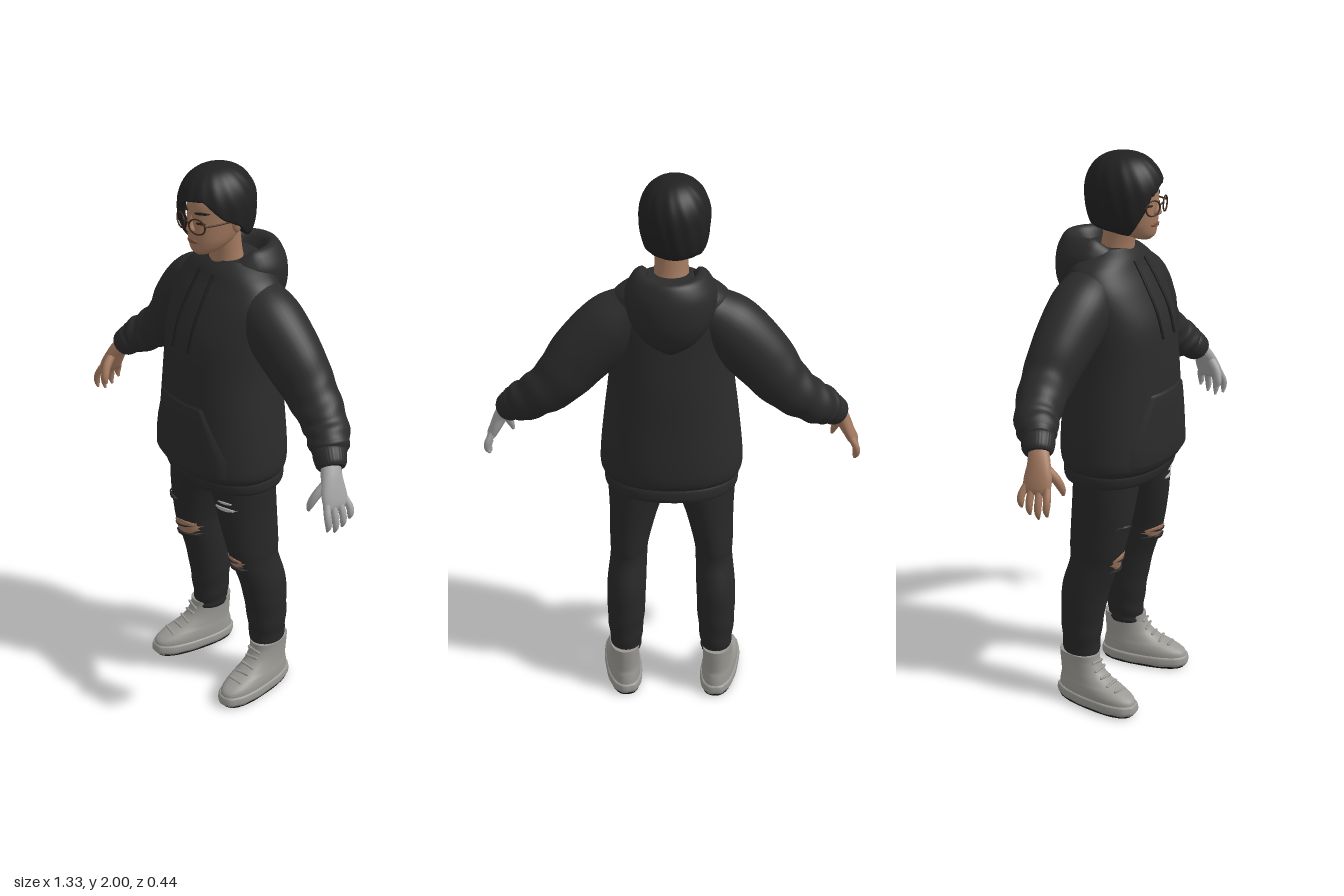
import * as THREE from 'three';

const mat = (name, color) => Object.assign(new THREE.MeshStandardMaterial({ color }), { name });
const M = {
  hoodie: mat('charcoal fleece', 0x2b2b2b), jeans: mat('black denim', 0x282828),
  hair: mat('black hair', 0x212121), skin: mat('skin', 0xa47a60),
  glove: mat('grey hand', 0xa2a3a2), shoe: mat('grey shoe', 0x9a9893),
  sole: mat('dark rubber', 0x1c1c1c), frame: mat('brown frame', 0x3a2619),
  lips: mat('lips', 0x84543f), thread: mat('pale thread', 0xb4b4b2),
};
const V = (x, y, z) => new THREE.Vector3(x, y, z);
const mesh = (name, geo, material) => Object.assign(new THREE.Mesh(geo, material), { name });

function build(pos, idx) {
  const g = new THREE.BufferGeometry();
  g.setAttribute('position', new THREE.Float32BufferAttribute(pos, 3));
  g.setIndex(idx);
  g.computeVertexNormals();
  return g;
}

// Smooth cross-sections from rows of [x, y, z, radius across, radius in depth]
function sampler(rows) {
  const c = new THREE.CatmullRomCurve3(rows.map(r => V(r[0], r[1], r[2])), false, 'catmullrom', 0.5);
  const k = new THREE.CatmullRomCurve3(rows.map(r => V(r[3], r[4], 0)), false, 'catmullrom', 0.5);
  return t => ({ c: c.getPoint(t), r: k.getPoint(t), T: c.getTangent(t) });
}

// Closed loft; rings lie level, or square to the path when along is true
function loft(rows, { n = 36, p = 2, along = false, fold = () => 1, steps = 6 } = {}) {
  const at = sampler(rows), m = (rows.length - 1) * steps, pos = [], idx = [];
  const sp = v => Math.sign(v) * Math.abs(v) ** (2 / p);
  for (let i = 0; i <= m; i++) {
    const { c, r, T } = at(i / m);
    if (!along) T.set(0, 1, 0);
    const u = T.clone().cross(V(0, 0, 1)).normalize(), w = u.clone().cross(T);
    for (let j = 0; j < n; j++) {
      const a = j / n * Math.PI * 2, f = fold(a, i / m);
      const q = c.clone().addScaledVector(u, r.x * f * sp(Math.cos(a))).addScaledVector(w, r.y * f * sp(Math.sin(a)));
      pos.push(q.x, q.y, q.z);
    }
  }
  for (let i = 0; i < m; i++) for (let j = 0; j < n; j++) {
    const a = i * n + j, b = i * n + (j + 1) % n;
    idx.push(a, a + n, b, b, a + n, b + n);
  }
  for (const [i, end] of [[0, 0], [m, 1]]) {
    const base = pos.length / 3, c = at(end).c;
    pos.push(...pos.slice(i * n * 3, (i + 1) * n * 3), c.x, c.y, c.z);
    for (let j = 0; j < n; j++) {
      const a = base + j, b = base + (j + 1) % n;
      idx.push(base + n, end ? b : a, end ? a : b);
    }
  }
  return build(pos, idx);
}

// Depth of the front of a level loft at x, y
function frontZ(rows, x, y, p = 2) {
  const at = sampler(rows);
  let lo = 0, hi = 1;
  for (let i = 0; i < 24; i++) { const t = (lo + hi) / 2; if (at(t).c.y < y) lo = t; else hi = t; }
  const { c, r } = at(lo), d = Math.min(1, Math.abs((x - c.x) / r.x));
  return c.z + r.y * (1 - d ** p) ** (1 / p);
}

// Thin plate hugging the front of a loft; spans are [y, x0, x1] going up
function patch(rows, spans, off, p = 2, n = 14) {
  const pos = [], idx = [], m = spans.length;
  spans.forEach(([y, x0, x1], i) => {
    for (let j = 0; j <= n; j++) {
      const x = x0 + (x1 - x0) * j / n, rim = j === 0 || j === n || i === 0 || i === m - 1;
      pos.push(x, y, frontZ(rows, x, y, p) + (rim ? off * 0.2 : off));
    }
  });
  for (let i = 0; i < m - 1; i++) for (let j = 0; j < n; j++) {
    const a = i * (n + 1) + j, b = a + n + 1;
    idx.push(a, a + 1, b, a + 1, b + 1, b);
  }
  return build(pos, idx);
}
const oval = (x, y, w, h, rag = 0) => Array.from({ length: 9 }, (_, i) => {
  const v = i / 4 - 1, hw = w * Math.sqrt(Math.max(0.02, 1 - v * v));
  return [y + h * v, x - hw * (1 + rag * Math.sin(i * 2.6)), x + hw * (1 + rag * Math.cos(i * 3.3))];
});
const tube = (pts, r) => new THREE.TubeGeometry(new THREE.CatmullRomCurve3(pts.map(q => V(...q))), 24, r, 8);

function hairGeometry() {
  // Hairline height by angle: 0 left ear, 90 brow, 180 right ear, 270 nape
  const line = [[0, 1.82], [25, 1.85], [55, 1.91], [85, 1.905], [112, 1.87], [128, 1.80], [145, 1.735],
    [180, 1.75], [225, 1.76], [270, 1.755], [315, 1.765], [340, 1.775], [360, 1.82]];
  const edge = d => {
    const i = Math.max(1, line.findIndex(l => l[0] >= d)), [a, ya] = line[i - 1], [b, yb] = line[i];
    return THREE.MathUtils.lerp(ya, yb, (d - a) / (b - a));
  };
  const n = 90, m = 26, pos = [], idx = [], cy = 1.87;
  for (let i = 0; i <= m + 1; i++) for (let j = 0; j < n; j++) {
    const a = j / n * Math.PI * 2, e = edge(j / n * 360) - cy, tuck = i > m;
    const end = Math.acos(e > 0 ? e / 0.13 : e / 0.16), ph = end * Math.min(1, i / m);
    const low = ph > Math.PI / 2, s = Math.sin(ph) ** (low ? 0.5 : 0.82) * (tuck ? 0.8 : 1);
    const lock = 1 + 0.012 * Math.sin(15 * a + 4 * ph) * Math.sin(ph);
    pos.push(-0.01 + 0.119 * s * lock * Math.cos(a), cy + Math.cos(ph) * (low ? 0.16 : 0.13) + (tuck ? 0.008 : 0),
      0.032 + 0.137 * s * lock * Math.sin(a));
  }
  for (let i = 0; i <= m; i++) for (let j = 0; j < n; j++) {
    const a = i * n + j, b = i * n + (j + 1) % n;
    idx.push(a, b, a + n, b, b + n, a + n);
  }
  return build(pos, idx);
}

function addHead(g) {
  const head = [[0, 1.712, 0.092, 0.02, 0.03], [0, 1.728, 0.083, 0.046, 0.056], [0, 1.76, 0.062, 0.067, 0.083],
    [0, 1.8, 0.046, 0.077, 0.102], [0, 1.85, 0.036, 0.083, 0.112], [0, 1.9, 0.03, 0.084, 0.114],
    [0, 1.95, 0.03, 0.065, 0.09], [0, 1.975, 0.03, 0.03, 0.04]];
  g.add(mesh('head', loft(head), M.skin), mesh('hair', hairGeometry(), M.hair));
  g.add(mesh('neck', loft([[0, 1.56, -0.015, 0.085, 0.07], [0, 1.64, -0.005, 0.066, 0.062],
    [0, 1.7, 0.005, 0.057, 0.056], [0, 1.79, 0.02, 0.058, 0.06]]), M.skin));
  g.add(mesh('nose', loft([[0, 1.796, 0.145, 0.008, 0.008], [0, 1.806, 0.147, 0.017, 0.018],
    [0, 1.83, 0.143, 0.01, 0.014], [0, 1.858, 0.138, 0.007, 0.01]], { n: 16 }), M.skin));
  g.add(mesh('mouth', patch(head, oval(0, 1.765, 0.027, 0.008), 0.005), M.lips));
  g.add(mesh('glassesBridge', tube([[-0.012, 1.835, 0.166], [0, 1.839, 0.168], [0.012, 1.835, 0.166]], 0.003), M.frame));
  for (const s of [1, -1]) {
    g.add(mesh('eye', patch(head, oval(s * 0.036, 1.832, 0.014, 0.005), 0.003), M.frame));
    g.add(mesh('eyebrow', patch(head, oval(s * 0.038, 1.866, 0.022, 0.005), 0.004), M.hair));
    const ear = mesh('ear', new THREE.SphereGeometry(1, 16, 12), M.skin);
    ear.scale.set(0.012, 0.03, 0.018);
    ear.position.set(s * 0.084, 1.82, 0.025);
    const rim = mesh('glassesRim', new THREE.TorusGeometry(0.03, 0.0028, 8, 32), M.frame);
    rim.scale.set(1.08, 0.85, 1);
    rim.position.set(s * 0.043, 1.828, 0.157);
    rim.rotation.y = s * 0.28;
    g.add(ear, rim, mesh('glassesTemple', tube([[s * 0.074, 1.834, 0.148], [s * 0.089, 1.836, 0.1], [s * 0.09, 1.834, 0.02]], 0.003), M.frame));
  }
}

function addHoodie(g) {
  const body = [[0, 0.91, 0.015, 0.232, 0.17], [0, 0.945, 0.02, 0.25, 0.193], [0, 1.02, 0.019, 0.248, 0.195],
    [0, 1.15, 0.019, 0.234, 0.189], [0, 1.3, 0.018, 0.216, 0.184], [0, 1.43, 0.016, 0.213, 0.171],
    [0, 1.54, -0.003, 0.217, 0.142], [0, 1.61, -0.02, 0.195, 0.117], [0, 1.65, -0.025, 0.15, 0.1], [0, 1.68, -0.03, 0.1, 0.08]];
  g.add(mesh('hoodieBody', loft(body, { n: 64, p: 2.2 }), M.hoodie));
  g.add(mesh('hemBand', loft([[0, 0.87, 0.008, 0.23, 0.168], [0, 0.885, 0.01, 0.236, 0.174], [0, 0.915, 0.014, 0.236, 0.176],
    [0, 0.935, 0.015, 0.22, 0.16]], { n: 160, p: 2.2, fold: a => 1 + 0.004 * Math.sin(80 * a) }), M.hoodie));
  g.add(mesh('frontPocket', patch(body, [[0.945, -0.19, 0.19], [0.96, -0.195, 0.195], [1.02, -0.192, 0.192],
    [1.08, -0.165, 0.165], [1.14, -0.135, 0.135], [1.19, -0.112, 0.112], [1.2, -0.108, 0.108]], 0.009, 2.2, 30), M.hoodie));
  // Hood lying on the back, its rim rolled inward and dipping at the throat
  const hood = loft([[0, 1.45, -0.125, 0.03, 0.03], [0, 1.49, -0.115, 0.09, 0.075], [0, 1.56, -0.1, 0.138, 0.114],
    [0, 1.64, -0.075, 0.153, 0.14], [0, 1.69, -0.063, 0.132, 0.138], [0, 1.713, -0.058, 0.105, 0.122],
    [0, 1.7, -0.05, 0.083, 0.1], [0, 1.63, -0.04, 0.07, 0.075]], { n: 56 });
  const q = hood.attributes.position;
  for (let i = 0; i < q.count; i++) {
    const z = q.getZ(i);
    if (z > -0.03) q.setY(i, q.getY(i) - 0.75 * (z + 0.03));
  }
  hood.computeVertexNormals();
  g.add(mesh('hood', hood, M.hoodie));
  for (const s of [1, -1]) {
    const at = (x, y) => [s * x, y, frontZ(body, s * x, y, 2.2) + 0.006];
    g.add(mesh('drawstring', tube([at(0.035, 1.64), at(0.04, 1.56), at(0.042, 1.48), at(0.04, 1.385)], 0.005), M.sole));
    const sleeve = [[0.12, 1.56, -0.03, 0.085, 0.09], [0.2, 1.495, -0.03, 0.112, 0.108], [0.3, 1.395, -0.042, 0.11, 0.1],
      [0.385, 1.295, -0.052, 0.092, 0.086], [0.475, 1.22, -0.035, 0.075, 0.076], [0.53, 1.18, -0.003, 0.066, 0.067],
      [0.555, 1.16, 0.012, 0.048, 0.05]].map(r => [s * r[0], ...r.slice(1)]);
    const fold = (a, t) => 1 + 0.035 * THREE.MathUtils.smoothstep(t, 0.3, 0.7) * Math.sin(46 * t + 2 * Math.cos(a) + 1.5 * Math.sin(2 * a));
    g.add(mesh('sleeve', loft(sleeve, { along: true, fold, steps: 12 }), M.hoodie));
    g.add(mesh('cuff', loft([[s * 0.535, 1.177, 0.004, 0.045, 0.048], [s * 0.548, 1.165, 0.012, 0.054, 0.056],
      [s * 0.572, 1.142, 0.025, 0.05, 0.052], [s * 0.582, 1.132, 0.03, 0.042, 0.044]],
    { n: 96, along: true, fold: a => 1 + 0.012 * Math.sin(32 * a) }), M.hoodie));
  }
}

function addHand(g, s, material) {
  const limb = (name, rows) => g.add(mesh(name, loft(rows.map(r => [s * r[0], ...r.slice(1)]), { n: 18, along: true }), material));
  limb('palm', [[0.57, 1.15, 0.025, 0.028, 0.034], [0.595, 1.11, 0.042, 0.026, 0.04], [0.617, 1.065, 0.051, 0.022, 0.05],
    [0.632, 1.03, 0.054, 0.017, 0.05], [0.637, 1.015, 0.055, 0.009, 0.042]]);
  [[0.093, 0.075], [0.067, 0.088], [0.041, 0.08], [0.016, 0.062]].forEach(([z, len], i) => {
    const z2 = z + (1.5 - i) * 0.006;
    limb('finger', [[0.63, 1.04, z, 0.012, 0.012], [0.648, 1.04 - len * 0.5, z2, 0.012, 0.0125],
      [0.653, 1.04 - len * 0.9, z2, 0.01, 0.011], [0.647, 1.035 - len * 1.12, z2, 0.004, 0.004]]);
  });
  limb('thumb', [[0.6, 1.1, 0.065, 0.016, 0.017], [0.588, 1.06, 0.1, 0.015, 0.016],
    [0.577, 1.025, 0.115, 0.012, 0.013], [0.57, 1.0, 0.117, 0.005, 0.005]]);
}

function addLeg(g, s) {
  const leg = [[0.165, 0.17, -0.057, 0.052, 0.064], [0.167, 0.21, -0.057, 0.058, 0.069], [0.166, 0.32, -0.053, 0.068, 0.078],
    [0.163, 0.45, -0.038, 0.071, 0.09], [0.155, 0.56, -0.005, 0.067, 0.095], [0.152, 0.62, 0.003, 0.071, 0.104],
    [0.135, 0.75, 0.015, 0.088, 0.115], [0.115, 0.87, 0.02, 0.112, 0.119], [0.11, 0.95, 0.02, 0.112, 0.119]]
    .map(r => [s * r[0], ...r.slice(1)]);
  const fold = (a, t) => 1 + 0.025 * (1 - THREE.MathUtils.smoothstep(t, 0.1, 0.42)) * Math.sin(60 * t + 2 * Math.sin(a + s));
  g.add(mesh('jeansLeg', loft(leg, { fold, steps: 10 }), M.jeans));

  // Torn knee with a loose flap of denim under it
  const kx = s > 0 ? 0.146 : -0.142, ky = s > 0 ? 0.575 : 0.578, kh = s > 0 ? 0.025 : 0.036;
  g.add(mesh('kneeTear', patch(leg, oval(kx, ky, 0.047, kh, 0.12), 0.004), M.skin));
  g.add(mesh('kneeFlap', patch(leg, oval(kx, ky - kh, 0.05, 0.009, 0.15), 0.012), M.jeans));
  g.add(mesh('kneeFold', patch(leg, oval(kx, ky + kh * 0.2, 0.035, 0.004, 0.2), 0.008), M.jeans));
  if (s > 0) {
    g.add(mesh('thighTear', patch(leg, oval(0.148, 0.806, 0.04, 0.008, 0.15), 0.004), M.thread));
    g.add(mesh('thighThreads', patch(leg, oval(0.152, 0.832, 0.024, 0.005, 0.3), 0.004), M.thread));
  } else g.add(mesh('thighFlap', patch(leg, oval(-0.165, 0.715, 0.03, 0.01, 0.3), 0.01), M.jeans));

  // Shoe, turned out a little
  const shoe = new THREE.Group();
  shoe.name = 'shoe';
  shoe.position.x = s * 0.182;
  shoe.rotation.y = s * 0.15;
  const upper = [[0, 0.03, 0.018, 0.062, 0.165], [0, 0.06, 0.016, 0.062, 0.16], [0, 0.082, -0.002, 0.059, 0.138],
    [0, 0.1, -0.024, 0.055, 0.112], [0, 0.13, -0.047, 0.052, 0.09], [0, 0.165, -0.059, 0.052, 0.08], [0, 0.195, -0.062, 0.054, 0.078]];
  shoe.add(mesh('shoeUpper', loft(upper, { p: 2.3 }), M.shoe));
  shoe.add(mesh('midsole', loft([[0, 0.008, 0.018, 0.063, 0.165], [0, 0.02, 0.019, 0.068, 0.171], [0, 0.04, 0.018, 0.067, 0.169],
    [0, 0.046, 0.018, 0.062, 0.164]], { n: 48, p: 2.5, fold: a => 1 + 0.008 * Math.sin(12 * a) }), M.shoe));
  shoe.add(mesh('outsole', loft([[0, 0, 0.016, 0.06, 0.16], [0, 0.01, 0.018, 0.064, 0.166]], { p: 2.5 }), M.sole));
  [0.088, 0.102, 0.12, 0.145, 0.17].forEach((y, i) => {
    const lace = mesh('lace', new THREE.CapsuleGeometry(0.005, 0.05, 4, 8), M.shoe);
    lace.position.set(0, y, frontZ(upper, 0, y, 2.3));
    lace.rotation.z = Math.PI / 2 + (i % 2 ? 0.12 : -0.12);
    shoe.add(lace);
  });
  g.add(shoe);
}

export function createModel() {
  const model = new THREE.Group();
  model.name = 'figure';
  addHead(model);
  addHoodie(model);
  for (const s of [1, -1]) {
    const hand = new THREE.Group(), leg = new THREE.Group();
    hand.name = s > 0 ? 'leftHand' : 'rightHand';
    leg.name = s > 0 ? 'leftLeg' : 'rightLeg';
    addHand(hand, s, s > 0 ? M.glove : M.skin);
    addLeg(leg, s);
    model.add(hand, leg);
  }
  return model;
}
